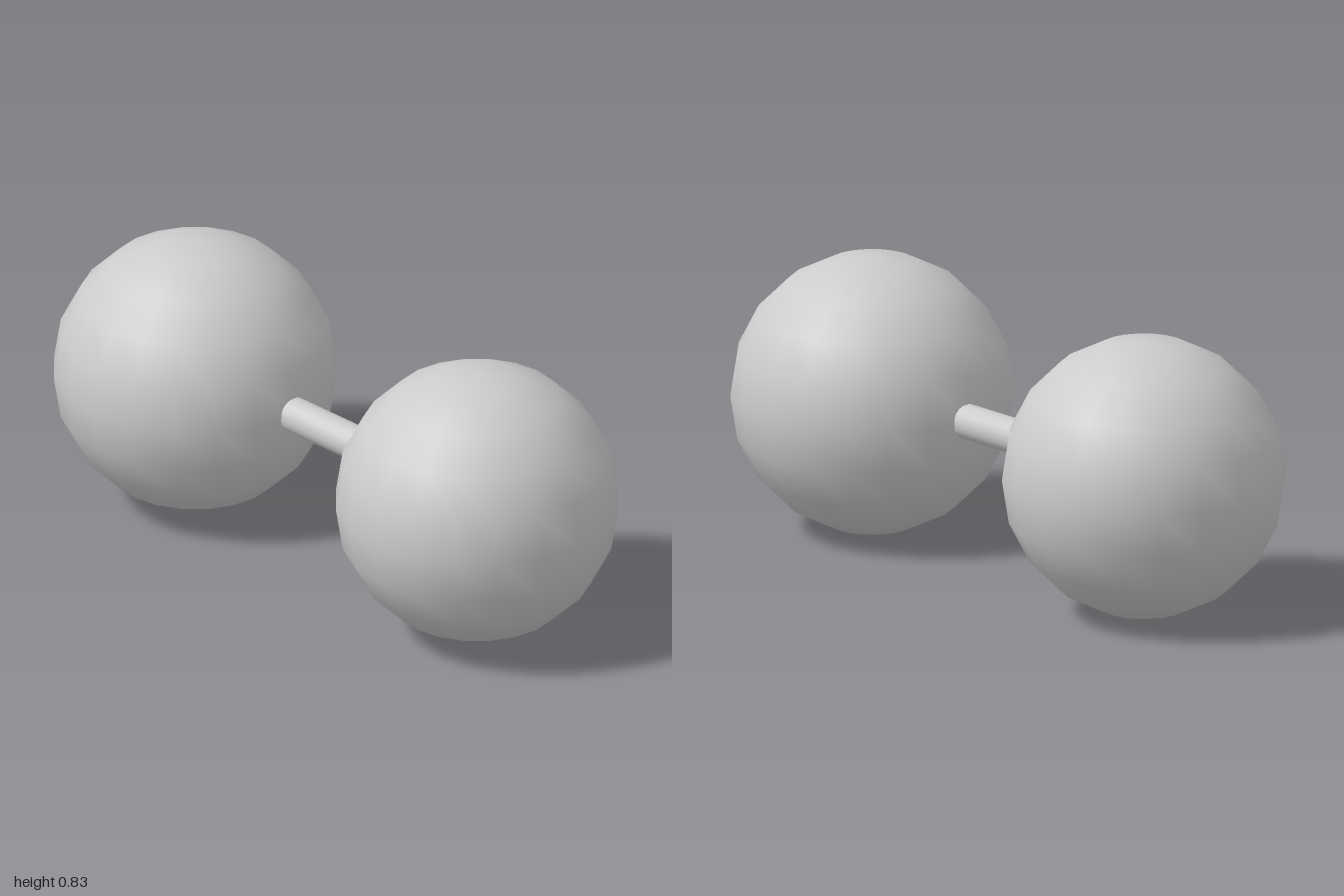
import * as THREE from 'three';

export function createModel() {
  const model = new THREE.Group();
  const material = new THREE.MeshStandardMaterial({ color: 0xcccccc });
  const radius = 0.417;
  const offset = 1 - radius;

  const add = (name, geometry, x) => {
    const mesh = new THREE.Mesh(geometry, material);
    mesh.name = name;
    mesh.position.set(x, radius, 0);
    model.add(mesh);
  };

  // Two equal weights, one at each end
  const ball = new THREE.SphereGeometry(radius, 20, 10);
  add('leftWeight', ball, offset);
  add('rightWeight', ball, -offset);

  // Round handle bar running into both weights
  const bar = new THREE.CylinderGeometry(0.052, 0.052, 2 * offset - 0.5, 20);
  bar.rotateZ(Math.PI / 2);
  add('handleBar', bar, 0);

  return model;
}
